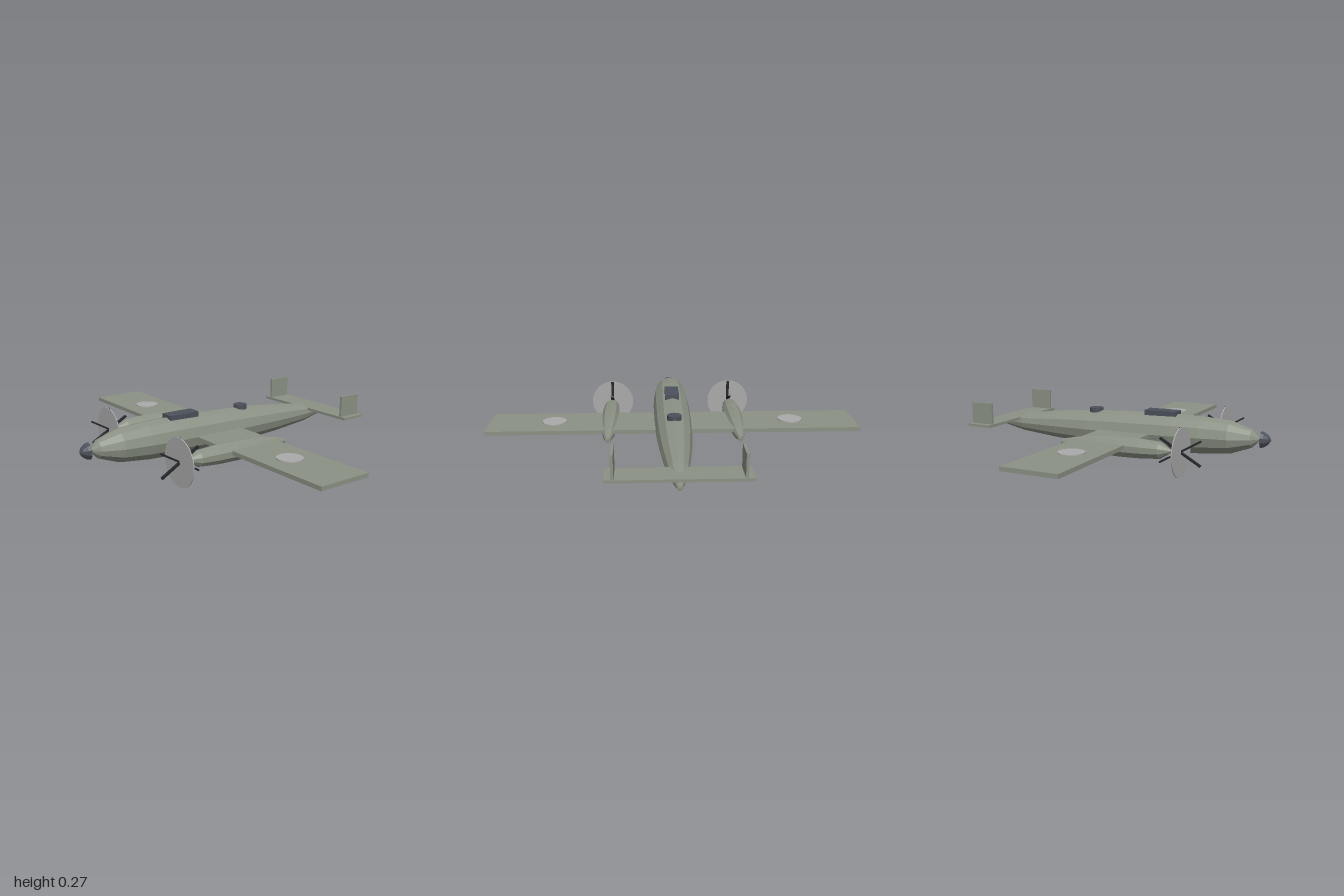
import * as THREE from 'three';

const paint = (name, color, extra = {}) =>
  Object.assign(new THREE.MeshStandardMaterial({ color, ...extra }), { name });

export function createModel() {
  const olive = paint('grey green paint', 0x8b9184, { flatShading: true });
  const slate = paint('dark slate', 0x4b515b, { flatShading: true });
  const black = paint('blade black', 0x25272b);
  const silver = paint('light grey', 0xaaaaaa);

  const model = new THREE.Group();
  model.name = 'twinEnginePlane';
  const plane = new THREE.Group();
  plane.name = 'airframe';
  plane.rotation.y = -0.05;
  model.add(plane);

  const add = (name, geometry, material, x, y, z) => {
    const mesh = new THREE.Mesh(geometry, material);
    mesh.name = name;
    mesh.position.set(x, y, z);
    plane.add(mesh);
    return mesh;
  };
  const box = (name, material, w, h, d, x, y, z) =>
    add(name, new THREE.BoxGeometry(w, h, d), material, x, y, z);

  // Round body along z from [radius, z] pairs, with the axis sloping gently down to the tail
  const spindle = (profile, sides, slope) => {
    const g = new THREE.LatheGeometry(profile.map(([r, z]) => new THREE.Vector2(r, z)), sides);
    g.rotateX(Math.PI / 2);
    const p = g.attributes.position;
    for (let i = 0; i < p.count; i++) p.setY(i, p.getY(i) + slope * p.getZ(i));
    g.computeVertexNormals();
    return g;
  };

  // Fuselage and nose
  add('fuselage', spindle([
    [0, -0.805], [0.013, -0.803], [0.025, -0.75], [0.052, -0.63], [0.078, -0.4], [0.093, -0.2],
    [0.1, 0], [0.102, 0.3], [0.098, 0.45], [0.085, 0.6], [0.046, 0.71], [0, 0.755],
  ], 12, 0.015), olive, 0, 0.138, 0);
  add('noseCap', spindle([
    [0, 0], [0.043, 0], [0.037, 0.016], [0.022, 0.036], [0, 0.05],
  ], 10, 0), slate, 0, 0.149, 0.756);

  // Wing and tailplane
  box('wing', olive, 1.986, 0.021, 0.29, 0, 0.132, 0.045);
  box('tailplane', olive, 0.666, 0.014, 0.14, 0, 0.152, -0.714);

  // Canopy, dorsal turret and belly door
  box('canopy', slate, 0.077, 0.035, 0.174, 0, 0.241, 0.226);
  add('dorsalTurret', new THREE.CylinderGeometry(0.037, 0.037, 0.035, 16), slate, 0, 0.228, -0.166);
  box('bellyDoor', slate, 0.125, 0.013, 0.395, 0, 0.0415, -0.08);

  const nacelleProfile = [
    [0, -0.182], [0.015, -0.18], [0.032, -0.1], [0.045, 0.02], [0.05, 0.14],
    [0.049, 0.26], [0.042, 0.36], [0, 0.43],
  ];
  for (const side of [-1, 1]) {
    const label = side > 0 ? 'left' : 'right';
    const x = side * 0.345;

    // Engine nacelle with spinning disc and six-armed blades
    add(label + 'Nacelle', spindle(nacelleProfile, 10, 0.015), olive, x, 0.12, 0);
    const disc = new THREE.CylinderGeometry(0.121, 0.121, 0.005, 40).rotateX(Math.PI / 2);
    add(label + 'PropellerDisc', disc, silver, x, 0.126, 0.466);
    for (let i = 0; i < 3; i++) {
      const blade = box(label + 'PropellerBlade', black, 0.015, 0.237, 0.009, x, 0.127, 0.461);
      blade.rotation.x = (i * Math.PI) / 3;
    }

    // Wing marking
    const marking = new THREE.CylinderGeometry(0.065, 0.065, 0.008, 32);
    add(label + 'WingMarking', marking, silver, side * 0.642, 0.1445, 0.046);

    // Tail fin
    box(label + 'TailFin', olive, 0.013, 0.117, 0.13, side * 0.295, 0.2145, -0.714);
  }
  return model;
}
